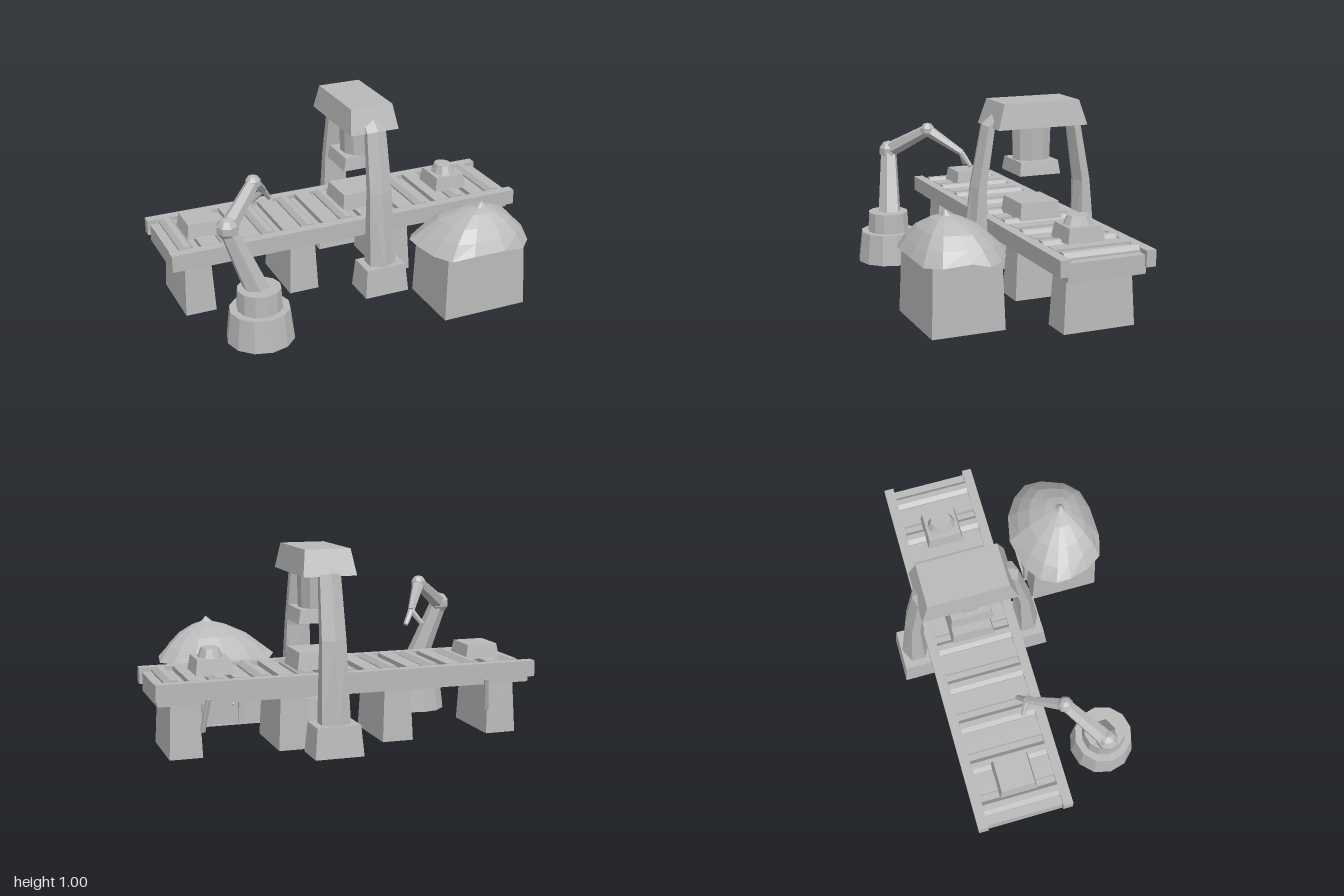
import * as THREE from 'three';

const grey = new THREE.MeshStandardMaterial({ color: 0xb8b8b8, flatShading: true, side: THREE.DoubleSide });
grey.name = 'plain grey';

export function createModel() {
  const model = new THREE.Group();
  model.name = 'conveyorWorkshop';

  const add = (name, geometry, x = 0, y = 0, z = 0) => {
    const mesh = new THREE.Mesh(geometry, grey);
    mesh.name = name;
    mesh.position.set(x, y, z);
    model.add(mesh);
    return mesh;
  };

  const box = (name, x0, x1, y0, y1, z0, z1) =>
    add(name, new THREE.BoxGeometry(x1 - x0, y1 - y0, z1 - z0), (x0 + x1) / 2, (y0 + y1) / 2, (z0 + z1) / 2);

  // Box standing on y0 whose top is drawn in by insetX and insetZ; may be hollow below
  const taperedBox = (name, x, z, y0, y1, w, d, insetX, insetZ, hollow = false) => {
    const g = new THREE.BoxGeometry(w, y1 - y0, d);
    const p = g.attributes.position;
    for (let i = 0; i < p.count; i++) {
      if (p.getY(i) > 0) {
        p.setX(i, p.getX(i) - Math.sign(p.getX(i)) * insetX);
        p.setZ(i, p.getZ(i) - Math.sign(p.getZ(i)) * insetZ);
      }
    }
    if (hollow) {
      const index = Array.from(g.index.array);
      index.splice(18, 6); // removes the bottom face
      g.setIndex(index);
    }
    g.computeVertexNormals();
    return add(name, g, x, (y0 + y1) / 2, z);
  };

  // Tapered rod between two points
  const rod = (name, a, b, ra, rb, sides = 6) => {
    const from = new THREE.Vector3(...a), to = new THREE.Vector3(...b);
    const dir = to.clone().sub(from);
    const mesh = add(name, new THREE.CylinderGeometry(rb, ra, dir.length(), sides));
    mesh.position.copy(from).add(to).multiplyScalar(0.5);
    mesh.quaternion.setFromUnitVectors(new THREE.Vector3(0, 1, 0), dir.normalize());
    return mesh;
  };

  // Surface through a list of equal-length rings of points
  const loft = (name, rings) => {
    const n = rings[0].length, index = [];
    for (let r = 0; r < rings.length - 1; r++) {
      for (let i = 0; i < n; i++) {
        const j = (i + 1) % n, a = r * n, b = a + n;
        index.push(a + i, b + i, a + j, a + j, b + i, b + j);
      }
    }
    let g = new THREE.BufferGeometry();
    g.setAttribute('position', new THREE.Float32BufferAttribute(rings.flat(2), 3));
    g.setIndex(index);
    g = g.toNonIndexed();
    g.computeVertexNormals();
    return add(name, g);
  };

  // Conveyor bed, side rails, rollers and slats
  box('conveyorBed', -0.98, 0.98, 0.27, 0.365, -0.42, -0.01);
  for (const z of [-0.44, 0.012]) box('sideRail', -0.995, 0.995, 0.305, 0.388, z - 0.026, z + 0.026);
  for (let i = 0; i < 9; i++) {
    const x = -0.895 + i * 0.224;
    const roller = add('roller', new THREE.CylinderGeometry(0.04, 0.04, 0.4, 8), x, 0.36, -0.215);
    roller.rotation.set(Math.PI / 2, Math.PI / 8, 0);
    if (i < 8) box('slat', x + 0.072, x + 0.152, 0.36, 0.39, -0.415, -0.015);
  }

  // Conveyor legs and rear braces
  for (const x of [-0.84, -0.26, 0.29, 0.84])
    taperedBox('conveyorLeg', x, -0.21, 0, 0.275, 0.165, 0.377, 0.012, 0.014, true);
  for (const s of [-1, 1])
    rod('brace', [s * 0.757, 0.13, -0.395], [s * 0.735, 0.3, -0.437], 0.014, 0.014);

  // Goods riding on the belt
  taperedBox('leftCrate', -0.77, -0.215, 0.385, 0.46, 0.19, 0.2, 0.012, 0.012);
  taperedBox('middleCrate', 0.13, -0.215, 0.385, 0.475, 0.25, 0.235, 0.012, 0.012);
  taperedBox('rightCrate', 0.675, -0.215, 0.385, 0.465, 0.19, 0.2, 0.012, 0.012);
  add('crateKnob', new THREE.CylinderGeometry(0.046, 0.066, 0.055, 10), 0.675, 0.483, -0.215).scale.z = 1.25;

  // Gantry: feet and bent six-sided posts, mirrored about z = -0.21
  const bends = [ // y, z, half width, half depth, tilt of section
    [0.14, 0.107, 0.075, 0.076, 0], [0.56, 0.086, 0.063, 0.044, 0.12],
    [0.87, 0.033, 0.054, 0.037, 0.45], [0.95, -0.06, 0.05, 0.036, 0.9]];
  for (const s of [1, -1]) {
    const mirror = z => -0.21 + s * (z + 0.21);
    taperedBox('gantryFoot', 0.13, mirror(0.11), 0, 0.155, 0.25, 0.185, 0.013, 0.015, true);
    loft('gantryPost', bends.map(([y, z, hw, hd, tilt]) => Array.from({ length: 6 }, (_, i) => {
      const a = i * Math.PI / 3, d = Math.cos(a) * hd;
      return [0.13 + Math.sin(a) * hw * 1.1547, y + d * Math.sin(tilt), mirror(z + d * Math.cos(tilt))];
    })));
  }
  taperedBox('gantryHead', 0.13, -0.22, 0.87, 1.0, 0.275, 0.5, 0.02, 0.04);
  add('pressRam', new THREE.CylinderGeometry(0.108, 0.102, 0.2, 10), 0.13, 0.78, -0.213).scale.x = 0.8;
  taperedBox('pressPlate', 0.13, -0.213, 0.62, 0.69, 0.235, 0.227, 0.012, 0.008);

  // Robot arm: hollow pedestal, turntable, three arm sections and a claw
  add('robotPedestal', new THREE.CylinderGeometry(0.155, 0.175, 0.17, 12, 1, true), -0.64, 0.085, 0.325);
  const collar = add('pedestalTop', new THREE.CircleGeometry(0.155, 12), -0.64, 0.17, 0.325);
  collar.rotation.set(-Math.PI / 2, 0, Math.PI / 2);
  add('robotTurntable', new THREE.CylinderGeometry(0.112, 0.117, 0.11, 12), -0.64, 0.225, 0.325);
  const shoulder = [-0.645, 0.26, 0.315], elbow = [-0.772, 0.605, 0.272];
  const knuckle = [-0.575, 0.745, 0.105], wrist = [-0.465, 0.62, -0.06];
  rod('lowerArm', shoulder, elbow, 0.066, 0.046);
  rod('upperArm', elbow, knuckle, 0.046, 0.034);
  rod('forearm', knuckle, wrist, 0.034, 0.019);
  for (const [p, r] of [[elbow, 0.058], [knuckle, 0.042]])
    add('armJoint', new THREE.SphereGeometry(r, 8, 5), ...p);
  for (const x of [-0.515, -0.42]) rod('claw', wrist, [x, 0.55, -0.095], 0.017, 0.013);

  // Shed with a sagging canopy
  taperedBox('shedBody', 0.515, 0.388, 0, 0.345, 0.47, 0.374, 0.014, 0.012, true);
  const rim = [ // x, y, z around the canopy edge
    [0.20, 0.365, 0.31], [0.25, 0.345, 0.23], [0.35, 0.34, 0.165], [0.51, 0.365, 0.13],
    [0.67, 0.34, 0.165], [0.77, 0.345, 0.23], [0.83, 0.345, 0.31], [0.82, 0.365, 0.4],
    [0.78, 0.345, 0.53], [0.71, 0.34, 0.6], [0.59, 0.36, 0.62], [0.41, 0.36, 0.62],
    [0.30, 0.34, 0.59], [0.24, 0.345, 0.50], [0.205, 0.36, 0.39]];
  const apex = [0.55, 0.57, 0.43];
  const ring = (t, y) => rim.map(p => [
    apex[0] + (p[0] - apex[0]) * t, y === null ? p[1] : y, apex[2] + (p[2] - apex[2]) * t]);
  loft('shedRoof', [ring(1, null), ring(0.82, 0.415), ring(0.6, 0.475), ring(0.3, 0.522), ring(0.1, 0.54), ring(0, 0.57)]);
  loft('roofUnderside', [ring(1, null), ring(0.8, 0.365), ring(0.6, 0.35)]);

  // Arched doorway at the back of the shed
  const arch = (w, h) => {
    const path = new THREE.Shape();
    path.moveTo(-w, 0);
    path.lineTo(w, 0);
    path.lineTo(w, h - w);
    path.absarc(0, h - w, w, 0, Math.PI, false);
    path.lineTo(-w, 0);
    return path;
  };
  const frame = arch(0.115, 0.275);
  frame.holes.push(arch(0.085, 0.245));
  const extrude = (shape, depth) =>
    new THREE.ExtrudeGeometry(shape, { depth, bevelEnabled: false, curveSegments: 6 });
  add('doorFrame', extrude(frame, 0.028), 0.515, 0.01, 0.185);
  add('doorPanel', extrude(arch(0.085, 0.245), 0.015), 0.515, 0.01, 0.198);
  add('doorKnob', new THREE.SphereGeometry(0.009, 6, 4), 0.46, 0.12, 0.194);

  return model;
}
